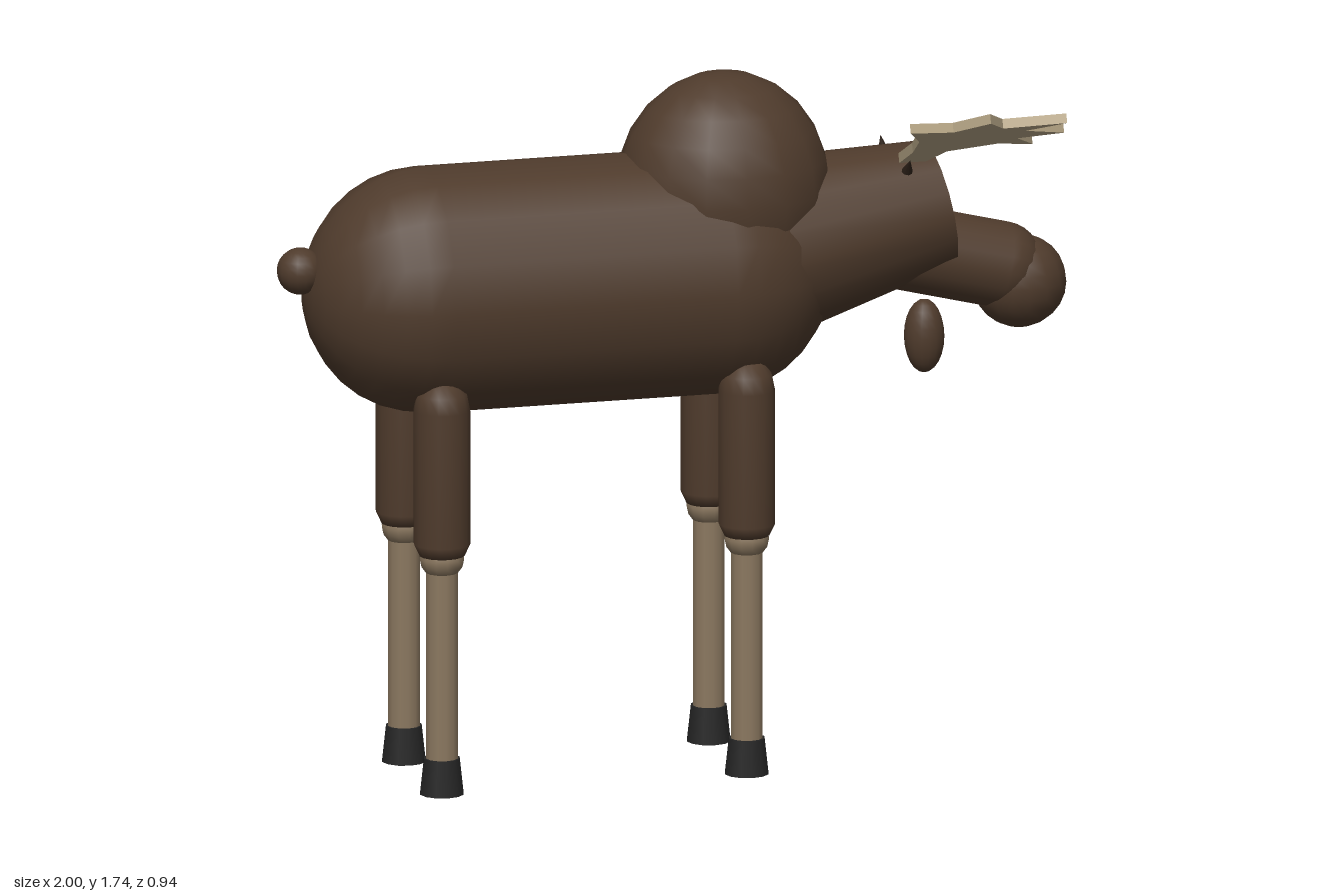
import * as THREE from 'three';

const CZ = -0.193; // centre plane of the animal

export function createModel() {
  const group = new THREE.Group();
  const mat = (name, color) => Object.assign(new THREE.MeshStandardMaterial({ color }), { name });
  const fur = mat('brown fur', 0x4f3b2c);
  const tan = mat('tan leg', 0x8b7860);
  const horn = mat('pale antler', 0xb9a888);
  const black = mat('black hoof', 0x252525);
  const dark = mat('dark ear', 0x2a1f17);

  const add = (name, geo, material, x, y, z, parent = group) => {
    const m = new THREE.Mesh(geo, material);
    m.name = name;
    m.position.set(x, y, z);
    parent.add(m);
    return m;
  };
  const ball = (name, material, x, y, z, rx, ry, rz) => {
    const m = add(name, new THREE.SphereGeometry(1, 16, 12), material, x, y, z);
    m.scale.set(rx, ry, rz);
    return m;
  };
  // Points the y axis of a mesh from a towards b and centres it between them
  const span = (m, a, b) => {
    m.position.copy(a).add(b).multiplyScalar(0.5);
    m.quaternion.setFromUnitVectors(new THREE.Vector3(0, 1, 0), b.clone().sub(a).normalize());
  };
  const v = (x, y, z = CZ) => new THREE.Vector3(x, y, z);

  // Barrel body, shoulder hump and tail
  const body = add('body', new THREE.CapsuleGeometry(0.28, 0.65, 8, 16).rotateZ(Math.PI / 2), fur, -0.265, 1.227, CZ);
  body.scale.set(1.1, 1.1, 1);
  ball('hump', fur, 0.13, 1.43, CZ, 0.267, 0.295, 0.234);
  ball('tail', fur, -0.942, 1.294, CZ, 0.058, 0.058, 0.057);

  // Tapered neck and head, muzzle, nose and dewlap
  const na = v(0.2, 1.268), nb = v(0.674, 1.36);
  span(add('neck', new THREE.CylinderGeometry(0.158, 0.23, na.distanceTo(nb), 16), fur, 0, 0, 0), na, nb);
  const ma = v(0.58, 1.256), mb = v(0.83, 1.194);
  span(add('muzzle', new THREE.CapsuleGeometry(0.108, ma.distanceTo(mb), 8, 16), fur, 0, 0, 0), ma, mb);
  ball('nose', fur, 0.881, 1.15, CZ, 0.117, 0.115, 0.108);
  ball('dewlap', fur, 0.64, 1.027, CZ, 0.05, 0.092, 0.049);

  // Small pointed ears
  for (const s of [-1, 1]) {
    const ear = add('ear', new THREE.ConeGeometry(0.022, 0.07, 8), dark, 0, 0, 0);
    span(ear, v(0.567, 1.45, CZ + s * 0.092), v(0.567, 1.505, CZ + s * 0.136));
  }

  // Flat palmate antler, rising outward on one side
  const outline = [
    [0.551, 0], [0.62, 0], [0.631, 0.144], [0.738, 0.219], [0.84, 0.176], [0.77, 0.288], [0.877, 0.331],
    [0.759, 0.406], [0.84, 0.492], [0.684, 0.47], [0.626, 0.567], [0.561, 0.459], [0.444, 0.489],
    [0.508, 0.337], [0.54, 0.164],
  ];
  const tilt = THREE.MathUtils.degToRad(22);
  const shape = new THREE.Shape(outline.map(([x, z]) => new THREE.Vector2(x, z / Math.cos(tilt))));
  const antlerGeo = new THREE.ExtrudeGeometry(shape, { depth: 0.024, bevelEnabled: false }).translate(0, 0, -0.012);
  add('antler', antlerGeo, horn, 0, 1.5, -0.104).rotation.x = Math.PI / 2 - tilt;

  // Four legs: upper leg, knee, shin and hoof
  const thigh = [[0, 0.6], [0.056, 0.6], [0.07, 0.63], [0.07, 0.965], [0.062, 1.005], [0.04, 1.035], [0, 1.046]]
    .map(([r, y]) => new THREE.Vector2(r, y));
  for (const x of [-0.631, 0.142]) {
    for (const s of [-1, 1]) {
      const leg = new THREE.Group();
      leg.name = (x > 0 ? 'front' : 'hind') + 'Leg';
      leg.position.set(x, 0, CZ + s * 0.173);
      group.add(leg);
      add('upperLeg', new THREE.LatheGeometry(thigh, 16), fur, 0, 0, 0, leg);
      add('knee', new THREE.SphereGeometry(0.056, 12, 8), tan, 0, 0.592, 0, leg).scale.y = 0.9;
      add('shin', new THREE.CylinderGeometry(0.04, 0.04, 0.5, 12), tan, 0, 0.33, 0, leg);
      add('hoof', new THREE.CylinderGeometry(0.045, 0.055, 0.09, 12), black, 0, 0.045, 0, leg);
    }
  }
  return group;
}
